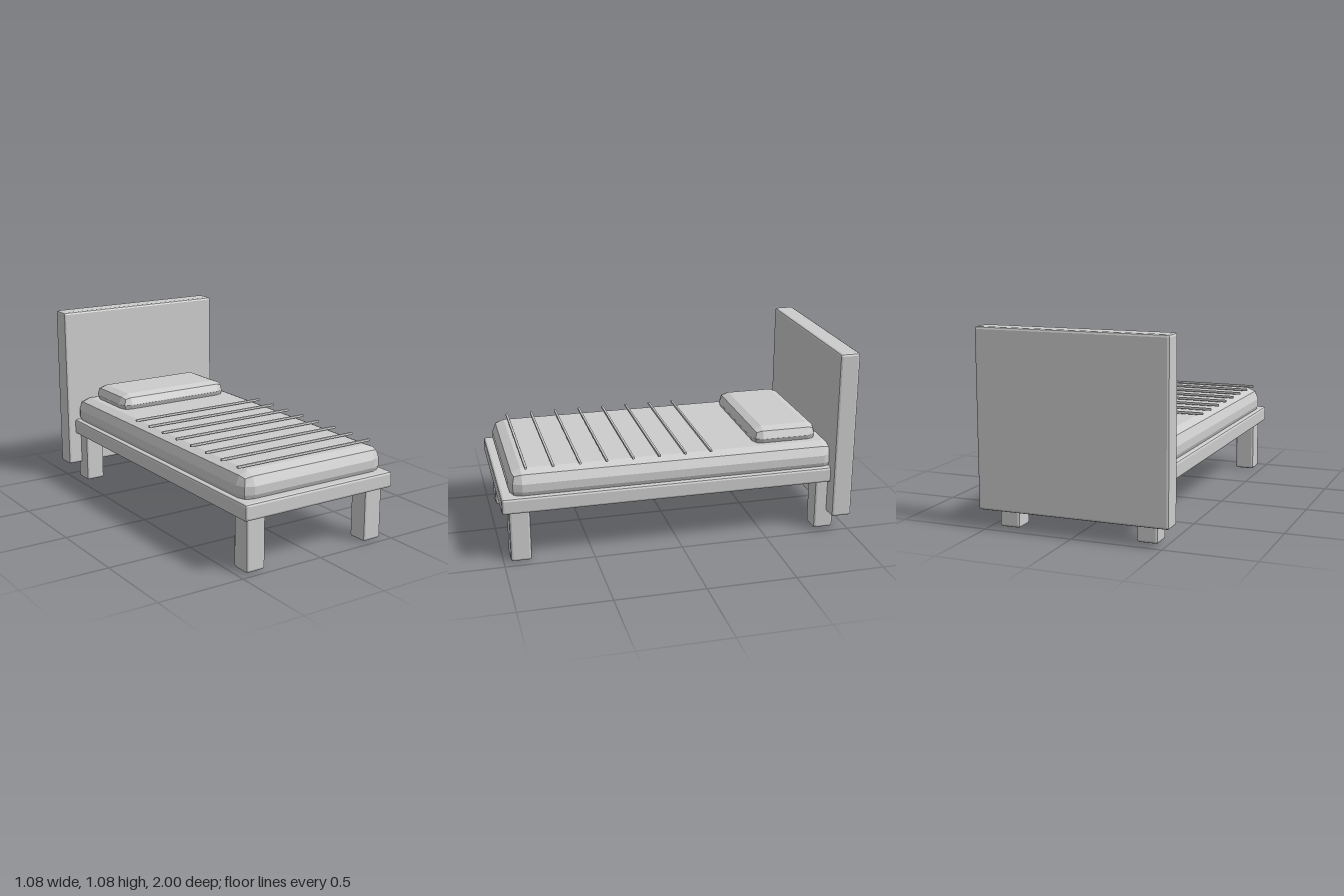
import * as THREE from 'three';
import { RoundedBoxGeometry } from 'three/addons/geometries/RoundedBoxGeometry.js';

export function createModel() {
  const bed = new THREE.Group();
  bed.name = 'bed';
  const grey = new THREE.MeshStandardMaterial({ name: 'light grey', color: 0xcccccc, flatShading: true });

  // Bevelled box given by its extents on each axis
  function block(name, [x0, x1], [y0, y1], [z0, z1], bevel) {
    const geometry = new RoundedBoxGeometry(x1 - x0, y1 - y0, z1 - z0, 1, bevel);
    const mesh = new THREE.Mesh(geometry, grey);
    mesh.name = name;
    mesh.position.set((x0 + x1) / 2, (y0 + y1) / 2, (z0 + z1) / 2);
    bed.add(mesh);
  }

  // Frame and headboard
  block('frame', [-0.487, 0.487], [0.3, 0.392], [-0.965, 1], 0.014);
  block('headboard', [-0.538, 0.538], [0.103, 1.08], [-1, -0.882], 0.014);

  // Four legs
  for (const side of [-1, 1]) {
    const x = side * 0.392;
    const label = side > 0 ? 'Left' : 'Right';
    block('front' + label + 'Leg', [x - 0.059, x + 0.059], [0, 0.31], [0.843, 0.961], 0.014);
    block('back' + label + 'Leg', [x - 0.059, x + 0.059], [0, 0.31], [-0.926, -0.808], 0.014);
  }

  // Bedding
  block('mattress', [-0.466, 0.466], [0.345, 0.53], [-0.92, 0.952], 0.07);
  block('pillow', [-0.37, 0.37], [0.495, 0.617], [-0.842, -0.452], 0.06);

  // Thin bars across the bed
  for (let i = 0; i < 8; i++) {
    const z = -0.18 + i * 0.148;
    block('blanketBar' + (i + 1), [-0.441, 0.441], [0.536, 0.551], [z - 0.0075, z + 0.0075], 0.005);
  }
  return bed;
}
